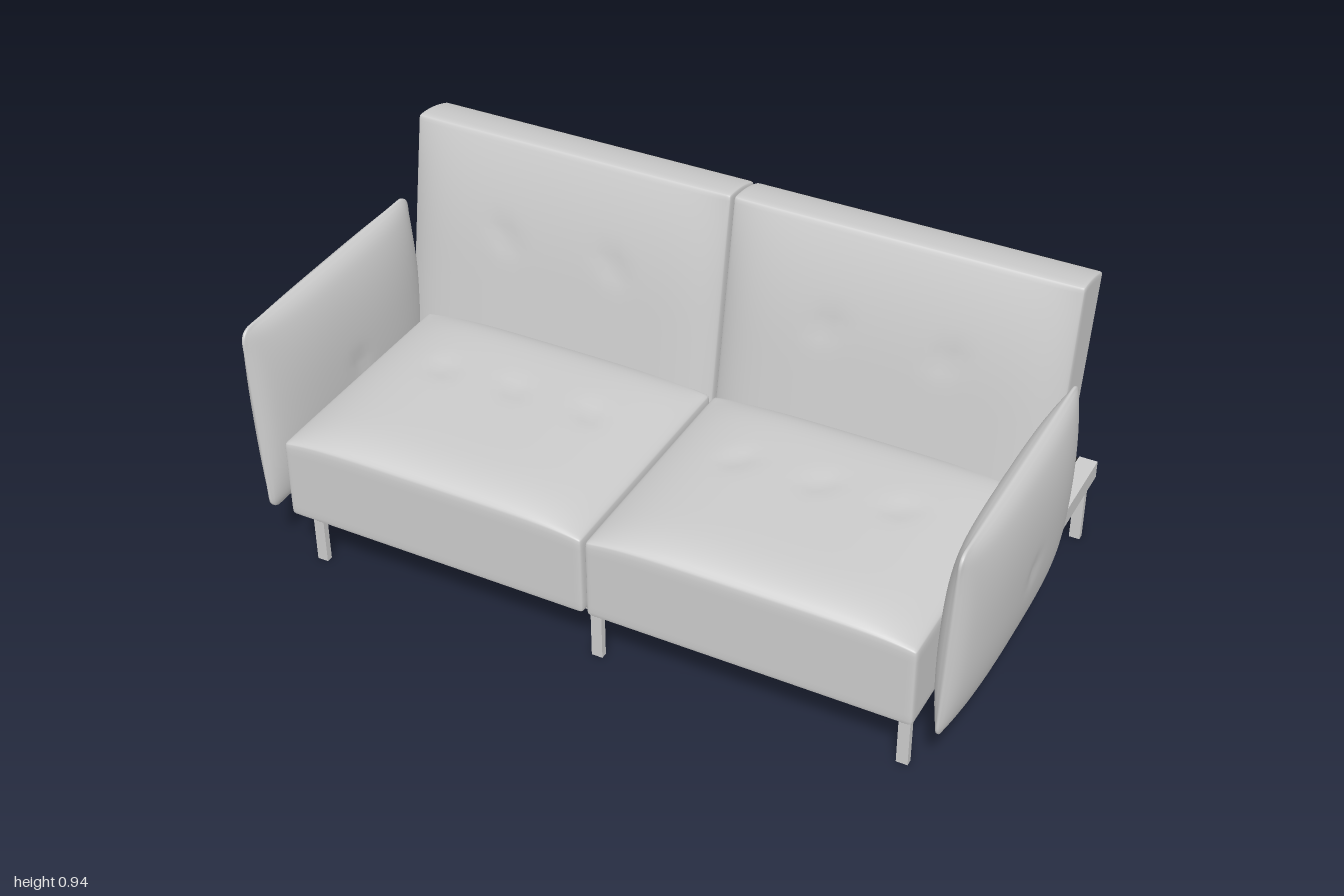
import * as THREE from 'three';
import { mergeVertices } from 'three/addons/utils/BufferGeometryUtils.js';

const grey = new THREE.MeshStandardMaterial({ color: 0xcccccc });
const dark = new THREE.MeshStandardMaterial({ color: 0x2b2b2b, side: THREE.DoubleSide });

const lerp = THREE.MathUtils.lerp;
const bulge = (a, n) => 1 - Math.pow(Math.min(1, Math.abs(a)), n);
const dimple = (a, b, r) => Math.exp(-(a * a + b * b) / (r * r));

// Box between two x, y and z limits
function box(group, name, x, y, z, material = grey) {
  const mesh = new THREE.Mesh(
    new THREE.BoxGeometry(x[1] - x[0], y[1] - y[0], z[1] - z[0]), material);
  mesh.position.set((x[0] + x[1]) / 2, (y[0] + y[1]) / 2, (z[0] + z[1]) / 2);
  mesh.name = name;
  group.add(mesh);
  return mesh;
}

// Finely divided rounded box, reshaped by a rule on each vertex; u holds coordinates in -1..1
function cushion(group, name, size, segments, radius, rule) {
  let geo = new THREE.BoxGeometry(2, 2, 2, ...segments);
  geo.deleteAttribute('uv');
  geo.deleteAttribute('normal');
  geo = mergeVertices(geo);
  const half = size.clone().multiplyScalar(0.5);
  const inner = half.clone().subScalar(radius);
  const pos = geo.attributes.position;
  const p = new THREE.Vector3(), c = new THREE.Vector3(), u = new THREE.Vector3();
  for (let i = 0; i < pos.count; i++) {
    p.fromBufferAttribute(pos, i);
    // crowd the vertices towards the edges, then round them
    p.set(...p.toArray().map(a => Math.sin(a * Math.PI / 2))).multiply(half);
    c.copy(p).clamp(inner.clone().negate(), inner);
    p.sub(c);
    if (p.length() > radius) p.setLength(radius);
    p.add(c);
    u.copy(p).divide(half);
    rule(p, u);
    pos.setXYZ(i, p.x, p.y, p.z);
  }
  geo.computeVertexNormals();
  const mesh = new THREE.Mesh(geo, grey);
  mesh.name = name;
  group.add(mesh);
  return mesh;
}

// Domed seat cushion with three tufts
function seat(group, side) {
  cushion(group, 'seatCushion', new THREE.Vector3(0.854, 0.225, 0.68), [40, 12, 32], 0.012, (p, u) => {
    const x = p.x + 0.431, z = p.z + 0.2;
    const top = (u.y + 1) / 2;
    let lift = 0.04 * bulge(u.x, 4) * bulge(u.z, 8) + 0.012 * bulge(u.x, 6);
    for (const t of [0.21, 0.43, 0.64]) lift -= 0.01 * dimple(x - t, z - 0.13, 0.035);
    p.set(side * x, p.y + 0.2885 + lift * top, z);
  });
}

// Leaning back cushion: upright box sheared between a front and a rear line
function back(group, side) {
  cushion(group, 'backCushion', new THREE.Vector3(0.914, 0.7, 0.14), [40, 32, 12], 0.008, (p, u) => {
    const x = p.x + 0.461, v = (u.y + 1) / 2, front = (u.z + 1) / 2;
    const y = lerp(lerp(0.23, 0.91, v), lerp(0.23, 0.938, v), front)
      + 0.008 * bulge(u.z, 2) * v;
    let z = lerp(lerp(-0.225, -0.378, v), lerp(-0.125, -0.243, v), front);
    let puff = 0.043 * bulge(u.x, 8) * (v > 0.5 ? bulge(u.y, 2.5) : 1);
    for (const t of [0.3, 0.62]) puff -= 0.008 * dimple(x - t, y - 0.69, 0.035);
    p.set(side * x, y, z + puff * front);
  });
}

// Pillow-shaped armrest, thin at its rim and tilted slightly outwards
function arm(group, side) {
  cushion(group, 'armrest', new THREE.Vector3(0.134, 0.54, 0.735), [8, 36, 40], 0.035, (p, u) => {
    const thick = Math.max(0.1, Math.sqrt(bulge(u.y, 2.3) * bulge(u.z, 3)));
    const tuft = 1 - 0.1 * dimple(p.y + 0.015, p.z, 0.03);
    const x = u.x * 0.067 * thick * tuft + 0.93 + 0.012 * u.y;
    const y = p.y + 0.4435 - 0.004 * u.z;
    p.set(side * x, y, p.z + 0.177);
  });
}

// Slightly slack cloth behind each back cushion
function backCloth(group, side) {
  const geo = new THREE.PlaneGeometry(2, 2, 32, 24);
  const pos = geo.attributes.position;
  for (let i = 0; i < pos.count; i++) {
    const a = pos.getX(i), b = pos.getY(i), v = (b + 1) / 2;
    const slack = bulge(a, 4) * bulge(b, 2);
    const fold = 0.006 * dimple(a, b * 0.15, 0.12);
    const z = lerp(-0.233, -0.384, v) - slack * (0.003 + 0.001 * Math.sin(a * 12) + fold);
    pos.setXYZ(i, side * (0.46 + 0.445 * a), lerp(0.235, 0.905, v), z);
  }
  geo.computeVertexNormals();
  const mesh = new THREE.Mesh(geo, dark);
  mesh.name = 'backCloth';
  group.add(mesh);
}

// x limits on one side of the sofa
const span = (side, a, b) => side > 0 ? [a, b] : [-b, -a];

export function createModel() {
  const sofa = new THREE.Group();
  sofa.name = 'sofaBed';

  for (const side of [1, -1]) {
    const half = new THREE.Group();
    half.name = side > 0 ? 'leftHalf' : 'rightHalf';
    sofa.add(half);

    seat(half, side);
    back(half, side);
    arm(half, side);
    backCloth(half, side);

    // rear platform: rails with a dark deck between them
    box(half, 'outerRail', span(side, 0.865, 0.915), [0.18, 0.23], [-0.55, -0.1]);
    box(half, 'innerRail', span(side, 0.004, 0.052), [0.18, 0.23], [-0.55, -0.1]);
    box(half, 'rearDeck', span(side, 0.052, 0.865), [0.182, 0.226], [-0.548, -0.1], dark);

    // underside of the seat and its edging
    box(half, 'seatBase', span(side, 0.03, 0.84), [0.17, 0.179], [-0.08, 0.52], dark);
    box(half, 'seatSideStrip', span(side, 0.835, 0.85), [0.168, 0.18], [-0.08, 0.5]);
    box(half, 'seatFrontStrip', span(side, 0.04, 0.85), [0.168, 0.18], [0.5, 0.515]);

    // centre beam slats
    for (const x of [0.003, 0.022, 0.041])
      box(half, 'centreBeam', span(side, x, x + 0.015), [0.165, 0.182], [-0.5, 0.5]);

    // corner legs with mounting plates
    box(half, 'frontLeg', span(side, 0.804, 0.834), [0, 0.17], [0.466, 0.484]);
    box(half, 'frontLegPlate', span(side, 0.72, 0.834), [0.15, 0.17], [0.466, 0.484]);
    box(half, 'rearLeg', span(side, 0.875, 0.904), [0, 0.18], [-0.523, -0.505]);
    box(half, 'rearLegPlate', span(side, 0.79, 0.904), [0.163, 0.182], [-0.523, -0.505]);
  }

  // beam across the middle and the two centre legs
  box(sofa, 'crossBeam', [-0.86, 0.86], [0.168, 0.182], [-0.125, -0.08]);
  for (const z of [0.475, -0.514]) {
    box(sofa, 'centreLeg', [-0.015, 0.015], [0, 0.17], [z - 0.009, z + 0.009]);
    box(sofa, 'centreLegPlate', [-0.07, 0.07], [0.15, 0.17], [z - 0.016, z + 0.016]);
  }
  // mirrored cushions need their faces turned outwards again
  sofa.traverse(o => {
    if (!o.isMesh || o.parent.name !== 'rightHalf' || !/Cushion|armrest/.test(o.name)) return;
    const index = o.geometry.index.array;
    for (let i = 0; i < index.length; i += 3) [index[i], index[i + 1]] = [index[i + 1], index[i]];
    o.geometry.computeVertexNormals();
  });
  return sofa;
}
